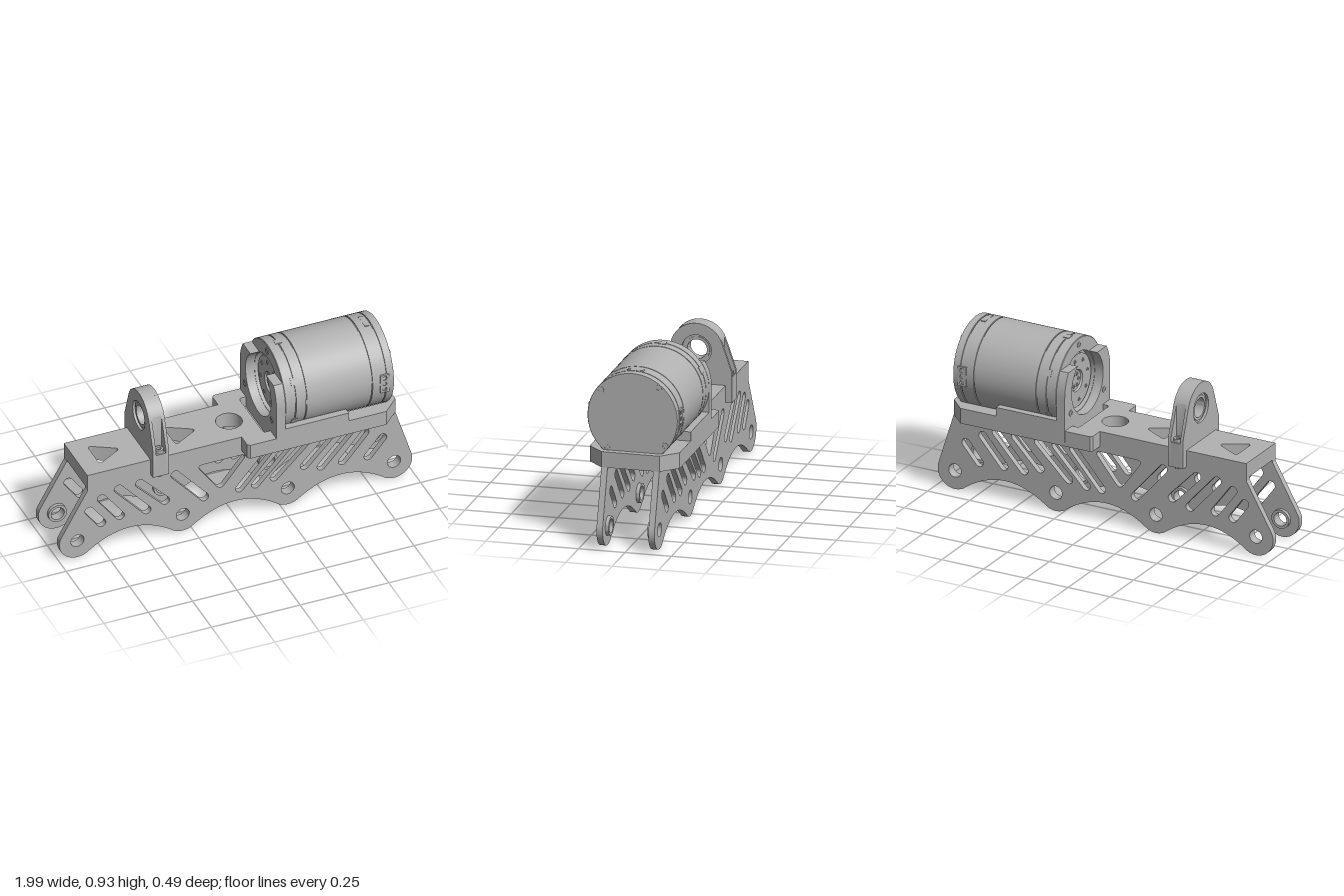
import * as THREE from 'three';
import { toCreasedNormals } from 'three/addons/utils/BufferGeometryUtils.js';

const grey = new THREE.MeshStandardMaterial({ color: 0xb2b2b2 });
grey.name = 'machined grey';

const AXIS_Y = 0.687; // height of the motor and bearing axis
const MOTOR_R = 0.243;

export function createModel() {
  const model = new THREE.Group();
  model.name = 'motorMountFrame';

  const add = (name, geometry, x = 0, y = 0, z = 0, parent = model) => {
    const mesh = new THREE.Mesh(geometry, grey);
    mesh.name = name;
    mesh.position.set(x, y, z);
    parent.add(mesh);
    return mesh;
  };
  const extrude = (shape, depth) => toCreasedNormals(
    new THREE.ExtrudeGeometry(shape, { depth, bevelEnabled: false, curveSegments: 20 }), 0.5);
  // Extrusion along +x (profile drawn in z, y) and along +y (profile drawn in x, z)
  const alongX = (shape, depth) => extrude(shape, depth).rotateY(Math.PI / 2);
  const alongY = (shape, depth) => extrude(shape, depth).rotateX(-Math.PI / 2);

  const circle = (x, y, r, Type = THREE.Path) => new Type().absarc(x, y, r, 0, Math.PI * 2, false);
  const ring = (outer, inner) => {
    const s = circle(0, 0, outer, THREE.Shape);
    s.holes.push(circle(0, 0, inner));
    return s;
  };
  const slot = (x1, y1, x2, y2, r) => {
    const a = Math.atan2(y2 - y1, x2 - x1);
    const p = new THREE.Path();
    p.absarc(x2, y2, r, a - Math.PI / 2, a + Math.PI / 2, false);
    p.absarc(x1, y1, r, a + Math.PI / 2, a + Math.PI * 1.5, false);
    p.closePath();
    return p;
  };
  const roundedPolygon = (points, r) => {
    const p = new THREE.Path();
    const v = points.map(([x, y]) => new THREE.Vector2(x, y));
    v.forEach((c, i) => {
      const prev = v[(i + v.length - 1) % v.length], next = v[(i + 1) % v.length];
      const a = c.clone().add(prev.clone().sub(c).setLength(r));
      const b = c.clone().add(next.clone().sub(c).setLength(r));
      i ? p.lineTo(a.x, a.y) : p.moveTo(a.x, a.y);
      p.quadraticCurveTo(c.x, c.y, b.x, b.y);
    });
    p.closePath();
    return p;
  };

  // Side plates with scalloped lower edge, pivot holes and slanted slots
  const feet = [-0.896, -0.302, 0.291, 0.89];
  const plate = new THREE.Shape();
  plate.moveTo(-0.84, 0.42);
  plate.lineTo(-0.84, 0.406);
  plate.absarc(feet[0], 0.102, 0.102, Math.PI * 0.87, Math.PI * 1.67, false);
  for (let i = 1; i < 4; i++) {
    const start = feet[i - 1] + 0.05, end = feet[i] - 0.05;
    plate.quadraticCurveTo((start + end) / 2, 0.2, end, 0.014);
    if (i < 3) plate.quadraticCurveTo(feet[i], -0.012, feet[i] + 0.05, 0.014);
  }
  plate.absarc(feet[3], 0.102, 0.102, Math.PI * 1.33, Math.PI * 2.1, false);
  plate.lineTo(0.897, 0.42);
  plate.closePath();
  feet.forEach(x => plate.holes.push(circle(x, 0.104, 0.037)));
  const slots = [
    [-0.83, 0.275, -0.76, 0.18], [-0.76, 0.335, -0.655, 0.195],
    [-0.665, 0.37, -0.505, 0.19], [-0.545, 0.37, -0.4, 0.22],
    [-0.345, 0.37, -0.18, 0.18],
    [0.02, 0.18, 0.185, 0.37], [0.11, 0.18, 0.29, 0.37],
    [0.215, 0.195, 0.395, 0.37], [0.385, 0.22, 0.53, 0.37],
    [0.48, 0.19, 0.645, 0.37], [0.6, 0.19, 0.725, 0.335], [0.745, 0.18, 0.825, 0.275],
  ];
  slots.forEach(s => plate.holes.push(slot(...s, 0.024)));
  plate.holes.push(roundedPolygon([[-0.225, 0.39], [-0.09, 0.2], [0.065, 0.39]], 0.04));
  const plateGeo = extrude(plate, 0.033);
  const bossGeo = extrude(ring(0.052, 0.037), 0.02);
  for (const side of [1, -1]) {
    const name = side > 0 ? 'front' : 'back';
    add(name + 'SidePlate', plateGeo, 0, 0, side > 0 ? 0.123 : -0.156);
    feet.forEach(x => add(name + 'PivotBoss', bossGeo, x, 0.104, side > 0 ? 0.104 : -0.124));
  }

  // Deck: solid floor layer and upper layer with a pocket for the motor
  const deck = pocket => {
    const s = new THREE.Shape();
    s.moveTo(-0.84, -0.156);
    [[0.03, -0.156], [0.03, -0.23], [0.042, -0.242], [0.81, -0.242], [0.897, -0.156],
      [0.897, 0.156], [0.81, 0.242], [0.042, 0.242], [0.03, 0.23], [0.03, 0.156], [-0.84, 0.156],
    ].forEach(p => s.lineTo(...p));
    s.closePath();
    for (const x of [-0.74, -0.31]) {
      s.holes.push(roundedPolygon([[x, -0.085], [x + 0.15, 0], [x, 0.085]], 0.03));
    }
    s.holes.push(circle(0.025, 0, 0.07));
    if (pocket) s.holes.push(roundedPolygon(
      [[0.15, -0.163], [0.86, -0.163], [0.86, 0.163], [0.15, 0.163]], 0.02));
    return s;
  };
  add('deckFloor', alongY(deck(false), 0.022), 0, 0.42, 0);
  add('deckTop', alongY(deck(true), 0.063), 0, 0.442, 0);

  // Cradle rails hugging the motor
  const lowAngle = Math.asin((0.505 - AXIS_Y) / MOTOR_R);
  const highAngle = Math.asin((0.555 - AXIS_Y) / MOTOR_R);
  for (const side of [1, -1]) {
    const rail = new THREE.Shape();
    rail.moveTo(side * MOTOR_R, 0.505);
    rail.lineTo(side * MOTOR_R, 0.555);
    for (let i = 0; i <= 6; i++) {
      const a = highAngle + (lowAngle - highAngle) * i / 6;
      rail.lineTo(side * MOTOR_R * Math.cos(a), AXIS_Y + MOTOR_R * Math.sin(a));
    }
    rail.closePath();
    add('cradleRail', alongX(rail, 0.36), 0.238, 0, 0);
  }

  // U-shaped flange that the motor face bolts to
  const flange = new THREE.Shape();
  const outerCut = Math.asin((0.82 - AXIS_Y) / MOTOR_R);
  const innerCut = Math.asin((0.82 - AXIS_Y) / 0.168);
  flange.moveTo(-MOTOR_R, 0.442);
  flange.lineTo(MOTOR_R, 0.442);
  flange.absarc(0, AXIS_Y, MOTOR_R, 0, outerCut, false);
  flange.absarc(0, AXIS_Y, 0.168, innerCut, -Math.PI - innerCut, true);
  flange.absarc(0, AXIS_Y, MOTOR_R, Math.PI - outerCut, Math.PI, false);
  flange.closePath();
  add('motorFlange', alongX(flange, 0.05), 0.19, 0, 0);

  // Motor, with its axis along x
  const motor = new THREE.Group();
  motor.name = 'motor';
  motor.position.y = AXIS_Y;
  model.add(motor);
  const profile = [[0, 0.262], [0.055, 0.262], [0.06, 0.252], [0.148, 0.252], [0.148, 0.275],
    [0.165, 0.275], [0.165, 0.24], [0.24, 0.24], [0.243, 0.243]];
  for (const x of [0.3, 0.36, 0.73, 0.81]) {
    profile.push([0.243, x - 0.003], [0.237, x - 0.003], [0.237, x + 0.003], [0.243, x + 0.003]);
  }
  profile.push([0.243, 0.85], [0.241, 0.853], [0, 0.853]);
  const body = new THREE.LatheGeometry(profile.map(p => new THREE.Vector2(...p)), 72);
  add('motorBody', toCreasedNormals(body.rotateZ(-Math.PI / 2), 0.5), 0, 0, 0, motor);

  const screwGeo = alongX(ring(0.018, 0.01), 0.004);
  const polar = (name, geo, n, r, x, offset) => {
    for (let i = 0; i < n; i++) {
      const a = offset + i * Math.PI * 2 / n;
      add(name, geo, x, r * Math.sin(a), r * Math.cos(a), motor);
    }
  };
  polar('endCapScrew', screwGeo, 4, 0.222, 0.852, 0.68);
  polar('faceScrew', screwGeo, 6, 0.205, 0.237, Math.PI / 2);
  polar('flangeScrew', screwGeo, 3, 0.205, 0.187, Math.PI * 7 / 6);
  motor.children.filter(m => m.name === 'flangeScrew' && m.position.y > 0.1).forEach(m => motor.remove(m));
  const pinGeo = alongX(ring(0.011, 0.006), 0.004);
  polar('outputBolt', pinGeo, 8, 0.115, 0.249, 0.2);
  polar('hubBolt', pinGeo, 6, 0.035, 0.259, 0);

  // Motor connectors on both sides, vent slot on top, and small latches
  const frame = new THREE.Shape();
  frame.moveTo(-0.025, -0.055);
  [[0.025, -0.055], [0.025, 0.055], [-0.025, 0.055]].forEach(p => frame.lineTo(...p));
  frame.closePath();
  for (const y of [-0.034, 0, 0.034]) frame.holes.push(circle(0, y, 0.012));
  const connectorGeo = extrude(frame, 0.012);
  for (const side of [1, -1]) {
    add('connector', connectorGeo, 0.8, 0, side > 0 ? 0.234 : -0.246, motor);
  }
  add('topSlotRim', new THREE.BoxGeometry(0.024, 0.006, 0.09), 0.785, 0.24, 0, motor);
  for (let i = 0; i < 6; i++) {
    const a = 0.56 + i * Math.PI / 3;
    const latch = add('latch', new THREE.BoxGeometry(0.035, 0.04, 0.008), 0.302,
      0.241 * Math.sin(a), 0.241 * Math.cos(a), motor);
    latch.rotation.x = -a;
  }

  // Bearing stand straddling the deck; the middle slice is notched for the screws
  const stand = notched => {
    const s = new THREE.Shape();
    const t = notched ? 0.43 : Math.PI / 9;
    s.moveTo(0.156, 0.412);
    s.lineTo(0.19, 0.412);
    if (notched) { s.lineTo(0.19, 0.55); s.lineTo(0.13, 0.55); } else s.lineTo(0.19, 0.575);
    s.absarc(0, AXIS_Y, 0.143, t, Math.PI - t, false);
    if (notched) { s.lineTo(-0.13, 0.55); s.lineTo(-0.19, 0.55); } else s.lineTo(-0.19, 0.575);
    [[-0.19, 0.412], [-0.156, 0.412], [-0.156, 0.505], [0.156, 0.505]].forEach(p => s.lineTo(...p));
    s.closePath();
    s.holes.push(circle(0, AXIS_Y, 0.08));
    return s;
  };
  const cheekGeo = alongX(stand(false), 0.017);
  add('standCheek', cheekGeo, -0.484, 0, 0);
  add('standCheek', cheekGeo, -0.412, 0, 0);
  add('standCore', alongX(stand(true), 0.055), -0.467, 0, 0);
  add('bearingRing', alongX(ring(0.081, 0.068), 0.06), -0.47, AXIS_Y, 0);
  add('bearingRace', alongX(ring(0.068, 0.053), 0.07), -0.475, AXIS_Y, 0);
  for (const z of [0.162, -0.162]) {
    add('standScrew', alongY(ring(0.024, 0.012), 0.02), -0.4395, 0.55, z);
    add('standScrewTip', new THREE.CylinderGeometry(0.011, 0.011, 0.02, 16), -0.4395, 0.412, z * 1.07);
  }

  return model;
}
